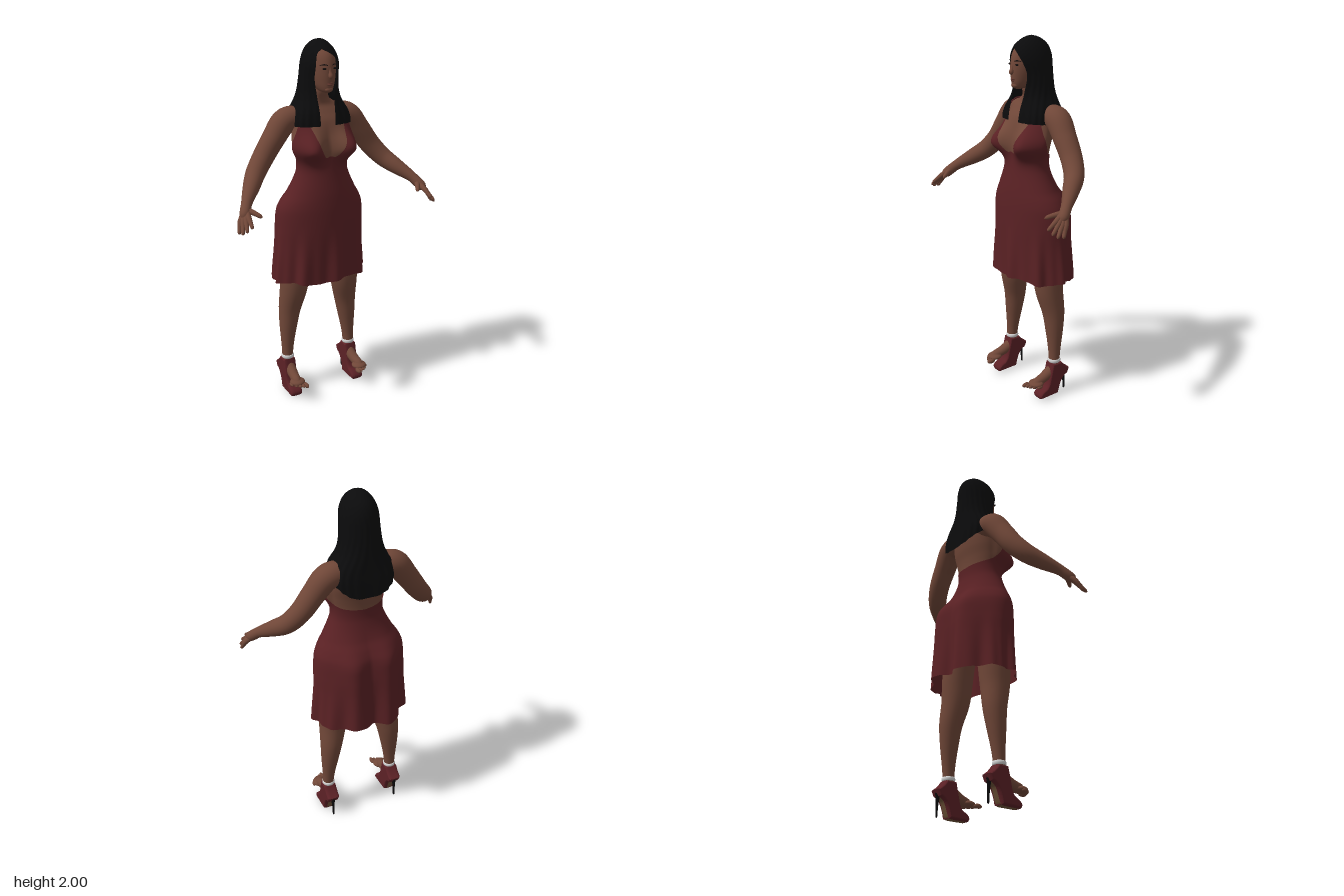
import * as THREE from 'three';

const mat = (name, color, side = THREE.FrontSide) => {
  const m = new THREE.MeshStandardMaterial({ color, side });
  m.name = name;
  return m;
};

// Smooth interpolation of rows [t, a, b, ...]
function keys(rows, t) {
  const n = rows.length;
  if (t <= rows[0][0]) return rows[0].slice(1);
  if (t >= rows[n - 1][0]) return rows[n - 1].slice(1);
  let i = 0;
  while (t > rows[i + 1][0]) i++;
  const h = rows[i + 1][0] - rows[i][0], s = (t - rows[i][0]) / h;
  const slope = (k, c) => {
    const a = rows[Math.max(0, k - 1)], b = rows[Math.min(n - 1, k + 1)];
    return (b[c] - a[c]) / (b[0] - a[0]);
  };
  return rows[i].slice(1).map((p, c) => {
    const q = rows[i + 1][c + 1];
    return p * (2 * s ** 3 - 3 * s * s + 1) + q * (3 * s * s - 2 * s ** 3)
      + h * slope(i, c + 1) * (s ** 3 - 2 * s * s + s) + h * slope(i + 1, c + 1) * (s ** 3 - s * s);
  });
}

// Grid surface from f(u, v) -> [x, y, z]; closed joins u = 1 to u = 0
function surface(nu, nv, f, closed = true) {
  const pos = [], idx = [], w = closed ? nu : nu + 1;
  for (let j = 0; j <= nv; j++) for (let i = 0; i < w; i++) pos.push(...f(i / nu, j / nv));
  for (let j = 0; j < nv; j++) for (let i = 0; i < nu; i++) {
    const a = j * w + i, b = j * w + (i + 1) % w;
    idx.push(a, b, b + w, a, b + w, a + w);
  }
  const g = new THREE.BufferGeometry();
  g.setAttribute('position', new THREE.Float32BufferAttribute(pos, 3));
  g.setIndex(idx);
  g.computeVertexNormals();
  return g;
}

// Tapered tube through points [x, y, z, radius], mirrored by s
function limb(pts, s = 1, sides = 20, steps = 40) {
  const curve = new THREE.CatmullRomCurve3(pts.map(p => new THREE.Vector3(p[0] * s, p[1], p[2])));
  const fr = curve.computeFrenetFrames(steps), radii = pts.map((p, i) => [i, p[3]]);
  return surface(sides, steps, (u, v) => {
    const k = Math.round(v * steps), a = u * Math.PI * 2;
    const r = Math.max(0.0005, keys(radii, curve.getUtoTmapping(v) * (pts.length - 1))[0]);
    return curve.getPointAt(v).addScaledVector(fr.normals[k], Math.cos(a) * r)
      .addScaledVector(fr.binormals[k], Math.sin(a) * r).toArray();
  });
}

const gauss = (d, w) => Math.exp(-(d * d) / (w * w));
const { smoothstep, clamp, lerp } = THREE.MathUtils;

// Body rings: height, half width, front z, back z
const BODY = [
  [0.69, 0.272, 0.115, -0.215], [0.9, 0.258, 0.113, -0.205], [1.0, 0.255, 0.112, -0.2], [1.1, 0.247, 0.11, -0.188],
  [1.15, 0.226, 0.107, -0.168], [1.2, 0.193, 0.102, -0.142], [1.3, 0.145, 0.087, -0.112], [1.36, 0.138, 0.08, -0.108],
  [1.43, 0.15, 0.075, -0.115], [1.5, 0.16, 0.066, -0.13], [1.58, 0.162, 0.048, -0.137], [1.63, 0.145, 0.018, -0.128],
  [1.66, 0.105, 0, -0.114], [1.69, 0.06, 0, -0.1], [1.73, 0.047, 0.01, -0.09], [1.8, 0.045, 0.01, -0.09]];

function bodyPoint(a, y, off = 0) {
  const [rx, zf, zb] = keys(BODY, y);
  const cz = (zf + zb) / 2;
  const fold = smoothstep(1.05 - y, 0, 0.35) * (0.01 * Math.sin(9 * a + 0.6) + 0.005 * Math.sin(17 * a));
  let x = (rx + off + fold) * Math.sin(a);
  let z = cz + ((zf - zb) / 2 + off + fold) * Math.cos(a);
  const sx = Math.sign(x), ax = Math.abs(x);
  if (Math.cos(a) > -0.3) { // bust
    const g = gauss(y - 1.44, y < 1.44 ? 0.062 : 0.083);
    z += 0.098 * g * gauss(ax - 0.1, 0.065) * Math.max(0, Math.cos(a));
    x += sx * 0.03 * g * Math.min(1, ax / 0.1) * smoothstep(Math.cos(a), -0.3, 0.3);
  }
  if (Math.cos(a) < 0) { // seat
    z += 0.045 * gauss(ax - 0.11, 0.08) * Math.cos(a) * (y < 1.06 ? 1 : gauss(y - 1.06, 0.12));
  }
  return [x, y, z];
}

// Dress upper edge by angle from the front
const NECKLINE = [[0, 1.4], [0.22, 1.405], [0.55, 1.54], [0.75, 1.595], [0.95, 1.59], [1.25, 1.5],
  [1.6, 1.42], [2.2, 1.385], [3.1416, 1.37]];

// Hair rings: height, half width, front z, back z
const HAIR = [
  [1.47, 0.15, 0.075, -0.185], [1.56, 0.166, 0.075, -0.18], [1.62, 0.157, 0.066, -0.172], [1.7, 0.12, 0.05, -0.165],
  [1.8, 0.103, 0.062, -0.16], [1.87, 0.097, 0.082, -0.158], [1.91, 0.088, 0.08, -0.153], [1.95, 0.07, 0.058, -0.135],
  [1.98, 0.045, 0.02, -0.1], [1.994, 0.024, -0.012, -0.068], [2.0, 0.001, -0.038, -0.04]];
// Face opening: height, edge on the right, edge on the left
const PARTING = [[1.5, 0.05, 0.035], [1.65, 0.05, 0.042], [1.72, 0.055, 0.05], [1.8, 0.066, 0.066],
  [1.87, 0.066, 0.058], [1.915, 0.06, 0.03], [1.94, 0.048, -0.004], [1.955, 0.03, -0.03], [2, 0.03, -0.03]];

const HEAD = [[1.728, 0.004, 0.05, 0.03], [1.737, 0.027, 0.073, -0.02], [1.755, 0.043, 0.08, -0.06], [1.78, 0.055, 0.083, -0.09],
  [1.83, 0.066, 0.085, -0.11], [1.88, 0.069, 0.081, -0.12], [1.93, 0.062, 0.061, -0.11], [1.965, 0.035, 0.02, -0.07], [1.98, 0.003, -0.02, -0.03]];

export function createModel() {
  const model = new THREE.Group();
  const skin = mat('skin', 0x704738), red = mat('dress red', 0x5a2124, THREE.DoubleSide);
  const black = mat('hair black', 0x0b0b0c, THREE.DoubleSide), white = mat('anklet white', 0xd2d2d2);
  const shoeRed = mat('shoe red', 0x5c2126), heelBlack = mat('heel black', 0x0c0b0c);
  const soleTan = mat('sole tan', 0x6e5238, THREE.DoubleSide);
  const lip = mat('lip brown', 0x60362e), dark = mat('eye dark', 0x16100f);

  const add = (name, geo, m, parent = model) => {
    const mesh = new THREE.Mesh(geo, m);
    mesh.name = name;
    parent.add(mesh);
    return mesh;
  };
  const blob = (name, p, scale, m, parent) => {
    const b = add(name, new THREE.SphereGeometry(1, 20, 14), m, parent);
    b.position.set(...p);
    b.scale.set(...scale);
  };
  const TAU = Math.PI * 2;

  // Torso and dress share the same rings
  add('torso', surface(96, 70, (u, v) => bodyPoint(u * TAU, 1.2 + v * 0.58)), skin);
  add('dress', surface(144, 90, (u, v) => {
    const a = u * TAU, top = keys(NECKLINE, Math.min(a, TAU - a))[0];
    return bodyPoint(a, lerp(0.695 + 0.006 * Math.sin(5 * a), top, v), 0.006);
  }), red);

  // Head and face
  const head = new THREE.Group();
  head.name = 'head';
  model.add(head);
  add('face', surface(40, 36, (u, v) => {
    const y = 1.728 + 0.252 * v, [rx, zf, zb] = keys(HEAD, y), a = u * TAU;
    return [rx * Math.sin(a), y, (zf + zb) / 2 + (zf - zb) / 2 * Math.cos(a)];
  }), skin, head);
  add('nose', limb([[0, 1.868, 0.075, 0.007], [0, 1.84, 0.082, 0.009], [0, 1.816, 0.089, 0.012], [0, 1.804, 0.086, 0.001]], 1, 14, 14), skin, head);
  blob('upperLip', [0, 1.783, 0.08], [0.018, 0.004, 0.008], lip, head);
  blob('lowerLip', [0, 1.776, 0.079], [0.015, 0.005, 0.008], lip, head);
  blob('chin', [0, 1.75, 0.069], [0.022, 0.014, 0.014], skin, head);

  // Long parted hair, boxier where it drapes over the shoulders
  add('hair', surface(180, 64, (u, v) => {
    const low = 1.562 - 0.085 * Math.sin(Math.PI * u) ** 6;
    const y = 2 - (2 - low) * (1 - v) ** 1.5;
    const [rx, zf, zb] = keys(HAIR, y), [xr, xl] = keys(PARTING, y);
    const p = lerp(0.6, 1, smoothstep(y, 1.58, 1.76));
    const bend = w => Math.sign(w) * Math.abs(w) ** p;
    const angle = x => {
      const q = clamp(x / rx, -0.75, 0.75);
      return Math.asin(Math.sign(q) * Math.abs(q) ** (1 / p));
    };
    const a0 = angle(xl), a = a0 + (TAU - angle(xr) - a0) * u;
    const k = 1 + 0.014 * Math.sin(u * 110) * (1 - v);
    return [k * rx * bend(Math.sin(a)), y, (zf + zb) / 2 + k * (zf - zb) / 2 * bend(Math.cos(a))];
  }, false), black);

  // Shoe side profile, drawn as (z, y)
  const shoe = new THREE.Shape();
  shoe.moveTo(-0.03, 0.188);
  shoe.lineTo(-0.08, 0.188);
  shoe.quadraticCurveTo(-0.1, 0.16, -0.13, 0.14);
  shoe.lineTo(-0.12, 0.118);
  shoe.quadraticCurveTo(-0.075, 0.11, -0.055, 0.014);
  shoe.lineTo(0.055, 0.011);
  shoe.quadraticCurveTo(0.065, 0.025, 0.02, 0.045);
  shoe.quadraticCurveTo(-0.005, 0.06, -0.012, 0.11);
  const shoeGeo = new THREE.ExtrudeGeometry(shoe, { depth: 0.032, bevelEnabled: true, bevelSize: 0.01, bevelThickness: 0.02, bevelSegments: 5, curveSegments: 10 });
  shoeGeo.translate(0, 0, -0.016).rotateY(-Math.PI / 2);
  // Sole strip along the underside: parameter, z, y, half width
  const SOLE = [[0, -0.118, 0.106, 0.014], [0.25, -0.092, 0.081, 0.016], [0.5, -0.066, 0.012, 0.018], [0.56, -0.054, 0.001, 0.02], [1, 0.052, 0, 0.018]];
  const soleGeo = surface(6, 40, (u, v) => {
    const [z, y, w] = keys(SOLE, v);
    return [(u * 2 - 1) * w, Math.max(0, y), z];
  }, false);

  for (const s of [1, -1]) {
    const side = s > 0 ? 'left' : 'right';
    // Eyes and brows
    blob(side + 'Eye', [s * 0.028, 1.858, 0.0745], [0.014, 0.0055, 0.006], dark, head);
    blob(side + 'EyeWhite', [s * 0.034, 1.857, 0.0755], [0.004, 0.0025, 0.003], white, head);
    add(side + 'Brow', limb([[0.012, 1.874, 0.08, 0.002], [0.03, 1.879, 0.074, 0.003], [0.05, 1.874, 0.06, 0.001]], s, 8, 10), dark, head);
    // Shoulder strap
    add(side + 'Strap', limb([[0.115, 1.585, 0.035, 0.007], [0.12, 1.635, 0.008, 0.004], [0.125, 1.66, -0.05, 0.004],
      [0.115, 1.635, -0.122, 0.004], [0.105, 1.56, -0.137, 0.003]], s, 10, 24), red);
    // Arm with hand
    const arm = new THREE.Group();
    arm.name = side + 'Arm';
    model.add(arm);
    add('arm', limb([[0.07, 1.595, -0.065, 0.05], [0.13, 1.592, -0.07, 0.064], [0.19, 1.578, -0.07, 0.068], [0.26, 1.495, -0.062, 0.062],
      [0.33, 1.4, -0.05, 0.057], [0.39, 1.33, -0.015, 0.052], [0.44, 1.283, 0.045, 0.044], [0.5, 1.23, 0.122, 0.029],
      [0.523, 1.2, 0.155, 0.028], [0.538, 1.178, 0.178, 0.024], [0.545, 1.165, 0.19, 0.004]], s, 24, 60), skin, arm);
    const tips = [[0.582, 1.1, 0.208], [0.576, 1.105, 0.24], [0.56, 1.12, 0.26], [0.534, 1.14, 0.268]];
    tips.forEach((p, i) => {
      const b = [0.561 - i * 0.011, 1.155 + i * 0.007, 0.178 + i * 0.01];
      const at = f => b.map((c, k) => lerp(c, p[k], f));
      const root = [lerp(0.515, b[0], 0.3), lerp(1.208, b[1], 0.3), lerp(0.145, b[2], 0.3)];
      add('finger', limb([[...root, 0.017], [...b, 0.0145], [...at(0.5), 0.011], [...at(0.9), 0.0085], [...p, 0.001]], s, 12, 20), skin, arm);
    });
    add('thumb', limb([[0.518, 1.2, 0.15, 0.018], [0.497, 1.196, 0.185, 0.014], [0.472, 1.182, 0.224, 0.01], [0.466, 1.177, 0.235, 0.001]], s, 12, 16), skin, arm);

    // Leg with foot
    const leg = new THREE.Group();
    leg.name = side + 'Leg';
    model.add(leg);
    add('leg', limb([[0.125, 0.95, -0.04, 0.09], [0.153, 0.74, -0.042, 0.085], [0.162, 0.63, -0.045, 0.078], [0.18, 0.5, -0.062, 0.063],
      [0.19, 0.4, -0.062, 0.051], [0.198, 0.29, -0.058, 0.037], [0.201, 0.22, -0.055, 0.0315], [0.202, 0.12, -0.05, 0.031]], s, 24, 48), skin, leg);
    add('foot', limb([[0.2, 0.165, -0.05, 0.028], [0.2, 0.135, -0.015, 0.03], [0.203, 0.115, 0.03, 0.028],
      [0.206, 0.104, 0.075, 0.024], [0.208, 0.096, 0.11, 0.006]], s, 18, 24), skin, leg);
    blob('ballOfFoot', [s * 0.204, 0.1, 0.075], [0.043, 0.018, 0.042], skin, leg);
    for (let i = 0; i < 5; i++) {
      const size = i ? 0.0095 : 0.013;
      blob('toe', [s * (0.172 + i * 0.0175), 0.091, 0.122 - i * i * 0.0028], [size, size, size * 2], skin, leg);
    }
    // Ankle chain
    const anklet = add('anklet', new THREE.TorusGeometry(0.0315, 0.005, 10, 32).rotateX(Math.PI / 2), white, leg);
    anklet.scale.y = 2.2;
    anklet.position.set(s * 0.201, 0.209, -0.055);
    // High heel shoe
    add('shoe', shoeGeo, shoeRed, leg).position.x = s * 0.202;
    add('sole', soleGeo, soleTan, leg).position.x = s * 0.202;
    add('heel', limb([[0.202, 0.135, -0.118, 0.02], [0.202, 0.1, -0.123, 0.01], [0.202, 0.05, -0.126, 0.006],
      [0.202, 0.004, -0.128, 0.005], [0.202, 0, -0.128, 0.001]], s, 12, 20), heelBlack, leg);
  }
  return model;
}
